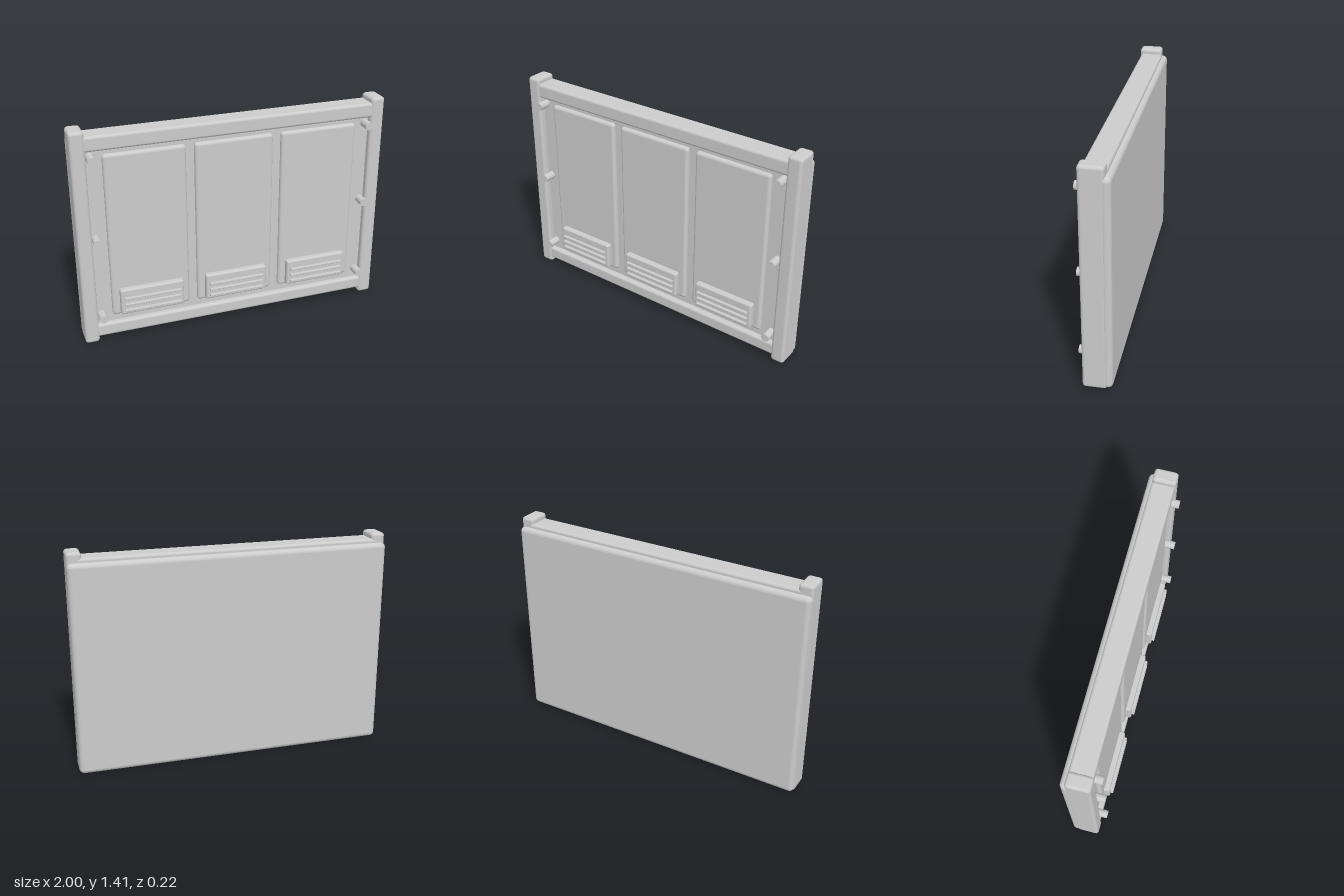
import * as THREE from 'three';
import { RoundedBoxGeometry } from 'three/addons/geometries/RoundedBoxGeometry.js';

const material = new THREE.MeshStandardMaterial({ color: 0xcccccc });

// Rounded block given by its [min, max] extents along each axis
function block(name, [x0, x1], [y0, y1], [z0, z1], radius) {
  const geometry = new RoundedBoxGeometry(x1 - x0, y1 - y0, z1 - z0, 4, radius);
  const mesh = new THREE.Mesh(geometry, material);
  mesh.name = name;
  mesh.position.set((x0 + x1) / 2, (y0 + y1) / 2, (z0 + z1) / 2);
  return mesh;
}

// Raised panel with a louvred vent near its foot
function createDoor(x) {
  const door = new THREE.Group();
  door.name = 'door';
  door.position.x = x;
  door.add(block('doorPanel', [-0.253, 0.253], [0.165, 1.25], [-0.02, 0.055], 0.02));
  door.add(block('vent', [-0.205, 0.205], [0.18, 0.355], [0.03, 0.09], 0.013));
  for (const y of [0.296, 0.254, 0.212]) {
    door.add(block('ventSlat', [-0.183, 0.183], [y - 0.007, y + 0.007], [0.08, 0.108], 0.003));
  }
  return door;
}

export function createModel() {
  const model = new THREE.Group();
  model.name = 'wallPanel';

  // Back slab and the recessed sheet behind the doors
  model.add(block('backPanel', [-1, 1], [0.005, 1.35], [-0.108, -0.045], 0.03));
  model.add(block('recessedSheet', [-0.95, 0.95], [0.06, 1.32], [-0.06, 0.03], 0.01));

  // Frame rails
  model.add(block('topRail', [-0.95, 0.95], [1.28, 1.375], [-0.078, 0.064], 0.018));
  model.add(block('bottomRail', [-0.95, 0.95], [0.033, 0.12], [-0.078, 0.064], 0.018));

  // Posts and bolts, mirrored left and right
  const boltGeometry = new THREE.CylinderGeometry(0.026, 0.026, 0.08, 16).rotateX(Math.PI / 2);
  boltGeometry.translate(0, 0, 0.068);
  for (const side of [-1, 1]) {
    const post = block('post', [-0.045, 0.045], [0, 1.41], [-0.076, 0.07], 0.02);
    post.position.x = side * 0.955;
    model.add(post);
    for (const y of [0.18, 0.71, 1.24]) {
      const bolt = new THREE.Mesh(boltGeometry, material);
      bolt.name = 'bolt';
      bolt.position.set(side * 0.883, y, 0);
      model.add(bolt);
    }
  }

  for (const x of [-0.56, 0, 0.56]) model.add(createDoor(x));
  return model;
}
